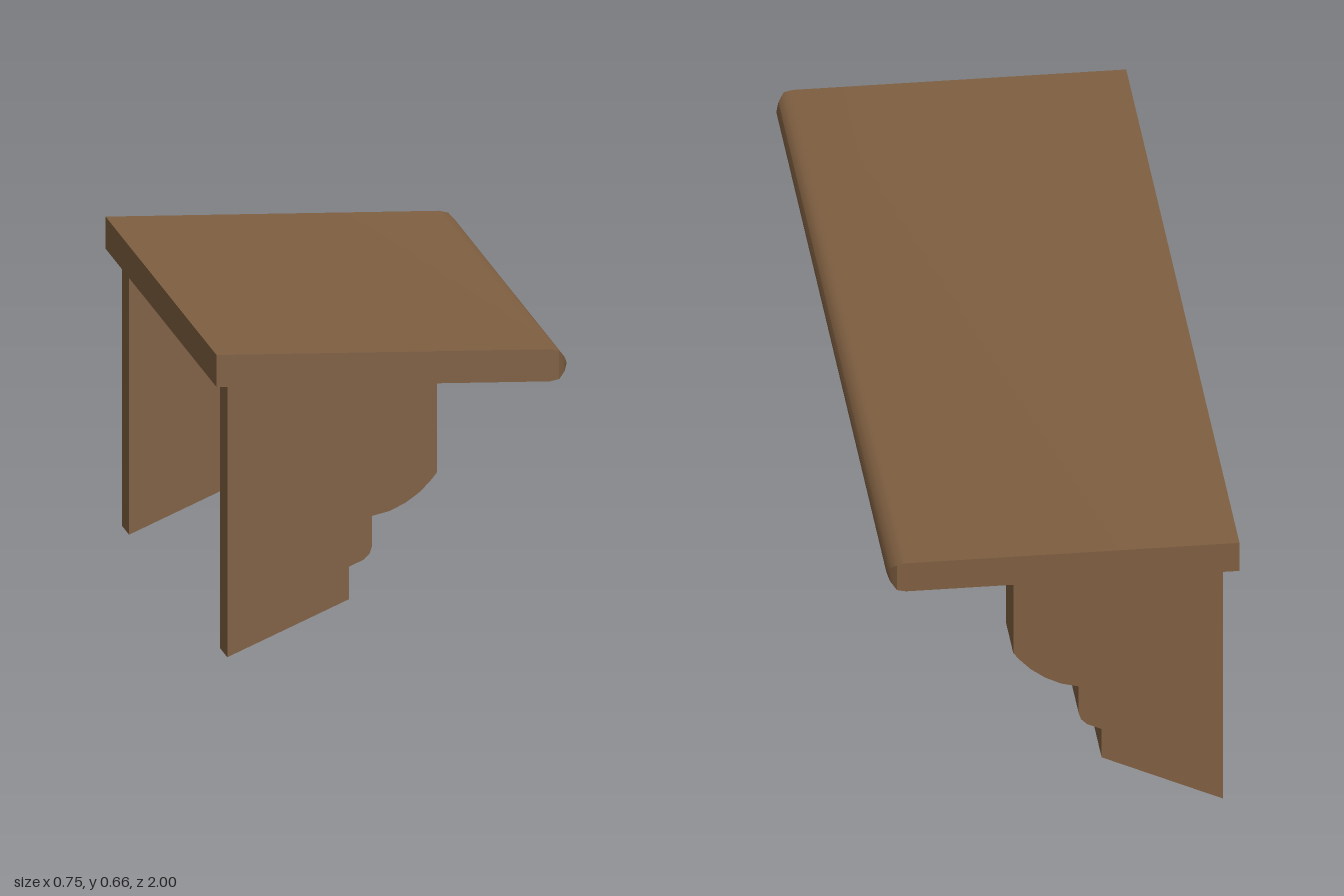
import * as THREE from 'three';
import { toCreasedNormals } from 'three/addons/utils/BufferGeometryUtils.js';

const wood = new THREE.MeshStandardMaterial({ color: 0x7f5f41 });

// Board swept from back to front: each station is [x, half thickness, half length]
function boardGeometry(stations, midY) {
  const pos = [], index = [];
  for (const [x, h, l] of stations) {
    pos.push(x, midY - h, l, x, midY - h, -l, x, midY + h, -l, x, midY + h, l);
  }
  for (let s = 0; s < stations.length - 1; s++) {
    for (let i = 0; i < 4; i++) {
      const a = s * 4 + i, b = s * 4 + (i + 1) % 4;
      index.push(a, b, b + 4, a, b + 4, a + 4);
    }
  }
  // end caps
  const e = (stations.length - 1) * 4;
  index.push(0, 2, 1, 0, 3, 2, e, e + 1, e + 2, e, e + 2, e + 3);
  const geo = new THREE.BufferGeometry();
  geo.setAttribute('position', new THREE.Float32BufferAttribute(pos, 3));
  geo.setIndex(index);
  return toCreasedNormals(geo, 0.8);
}

// Stepped corbel outline with two rounded coves
function bracketGeometry(thickness) {
  const outline = [
    [-0.347, 0], [-0.087, 0.12], [-0.087, 0.19], [-0.056, 0.204], [-0.043, 0.217],
    [-0.038, 0.232], [-0.038, 0.298], [0, 0.308], [0.034, 0.325], [0.065, 0.348],
    [0.088, 0.372], [0.102, 0.39], [0.102, 0.59], [-0.347, 0.59],
  ];
  const shape = new THREE.Shape(outline.map(([x, y]) => new THREE.Vector2(x, y)));
  const geo = new THREE.ExtrudeGeometry(shape, { depth: thickness, bevelEnabled: false });
  geo.translate(0, 0, -thickness / 2);
  return toCreasedNormals(geo, 0.65);
}

export function createModel() {
  const group = new THREE.Group();
  group.name = 'wallShelf';

  // Shelf board with rounded front edge and clipped front corners
  const board = new THREE.Mesh(boardGeometry([
    [-0.376, 0.0345, 1], [0.338, 0.0345, 1], [0.357, 0.03, 1],
    [0.37, 0.016, 0.985], [0.376, 0.002, 0.97],
  ], 0.6225), wood);
  board.name = 'shelfBoard';
  group.add(board);

  // Pair of supporting brackets
  const geo = bracketGeometry(0.13);
  for (const side of [1, -1]) {
    const bracket = new THREE.Mesh(geo, wood);
    bracket.name = side > 0 ? 'frontBracket' : 'backBracket';
    bracket.position.z = side * 0.885;
    group.add(bracket);
  }
  return group;
}
